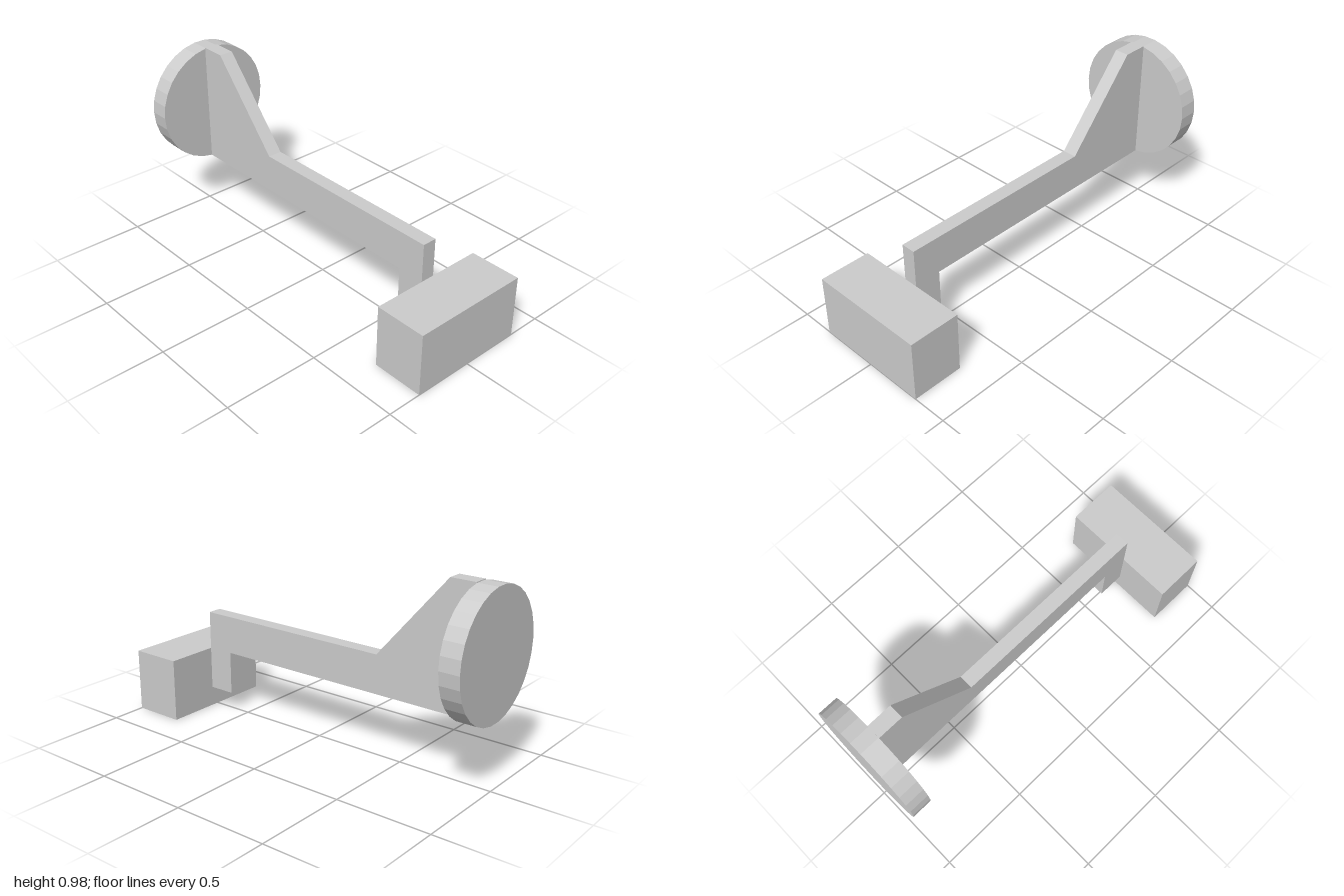
import * as THREE from 'three';

export function createModel() {
  const group = new THREE.Group();
  const material = new THREE.MeshStandardMaterial({ color: 0xcccccc, flatShading: true });
  const add = (name, geometry) => {
    const mesh = new THREE.Mesh(geometry, material);
    mesh.name = name;
    group.add(mesh);
    return mesh;
  };

  // Block at the front
  add('frontBlock', new THREE.BoxGeometry(0.636, 0.333, 0.273)).position.set(0, 0.1665, 0.8635);

  // Flat arm: side outline as [z, y], with a downward tab in front and a gusset behind
  const outline = [
    [0.727, 0.105], [0.583, 0.105], [0.583, 0.335], [-0.895, 0.335],
    [-0.895, 0.98], [-0.762, 0.98], [-0.375, 0.537], [0.727, 0.537],
  ];
  const width = 0.076;
  const shape = new THREE.Shape(outline.map(([z, y]) => new THREE.Vector2(-z, y)));
  const arm = new THREE.ExtrudeGeometry(shape, { depth: width, bevelEnabled: false });
  arm.translate(0, 0, -width / 2).rotateY(Math.PI / 2);
  add('arm', arm);

  // Round plate at the back, facing along z
  const plate = new THREE.CylinderGeometry(0.323, 0.323, 0.105, 30);
  plate.rotateY(Math.PI / 2).rotateX(Math.PI / 2);
  add('backPlate', plate).position.set(0, 0.655, -0.9475);

  return group;
}
